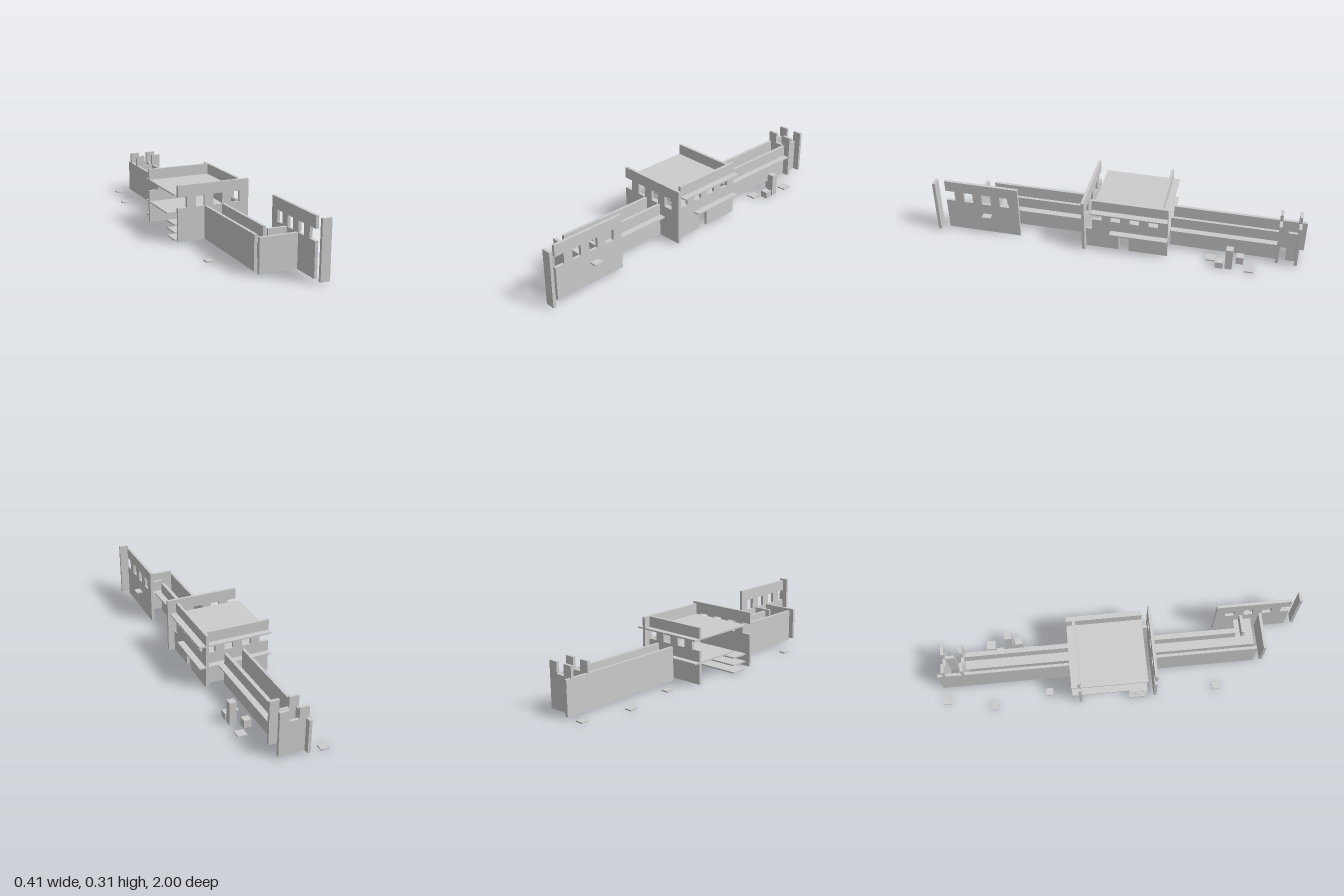
import * as THREE from 'three';

const T = 0.016;                               // wall thickness
const P = 0.0075;                              // plate thickness
const SILL = 0.19, LINTEL = 0.25, TOP = 0.3125, FLOOR = 0.125;

export function createModel() {
  const model = new THREE.Group();
  model.name = 'walledGatehouse';
  const stone = new THREE.MeshStandardMaterial({ color: 0xcccccc });
  stone.name = 'lightGrey';

  // Box given by its extents on each axis
  function block(name, x0, x1, y0, y1, z0, z1) {
    const mesh = new THREE.Mesh(new THREE.BoxGeometry(x1 - x0, y1 - y0, z1 - z0), stone);
    mesh.position.set((x0 + x1) / 2, (y0 + y1) / 2, (z0 + z1) / 2);
    mesh.name = name;
    model.add(mesh);
  }
  const plate = (name, x0, x1, y, z0, z1) => block(name, x0, x1, y, y + P, z0, z1);
  const wall = (name, x0, x1, z0, z1, top = SILL) => block(name, x0, x1, P, top, z0, z1);

  // Window wall: notch on the left, windows at regular steps, optional door and right notch
  function windowWall(name, length, x, z, turn, { door = null, rightNotch = false } = {}) {
    const w = 0.051;
    const pts = [[0, P]];
    if (door) pts.push([door[0], P], [door[0], FLOOR], [door[1], FLOOR], [door[1], P]);
    pts.push([length, P]);
    if (rightNotch) pts.push([length, SILL], [length - w, SILL], [length - w, LINTEL], [length, LINTEL]);
    pts.push([length, TOP], [0, TOP], [0, LINTEL], [w, LINTEL], [w, SILL], [0, SILL]);
    const shape = new THREE.Shape(pts.map(p => new THREE.Vector2(...p)));
    for (let u = 2 * w; u + w < length - 0.02; u += 2 * w) {
      shape.holes.push(new THREE.Path([
        [u, SILL], [u, LINTEL], [u + w, LINTEL], [u + w, SILL],
      ].map(p => new THREE.Vector2(...p))));
    }
    const mesh = new THREE.Mesh(
      new THREE.ExtrudeGeometry(shape, { depth: T, bevelEnabled: false }), stone);
    mesh.position.set(x, 0, z);
    mesh.rotation.y = turn;
    mesh.name = name;
    model.add(mesh);
  }

  // Main building: three window walls, open on its left side
  windowWall('frontWall', 0.41, -0.205, 0.16, 0);
  windowWall('sideWall', 0.41, 0.153, 0.125, Math.PI / 2, { door: [0.145, 0.2] });
  windowWall('backWall', 0.358, 0.153, -0.235, Math.PI, { rightNotch: true });
  wall('sideWallReturn', 0.153, 0.153 + T, 0.125, 0.16, FLOOR);
  plate('roof', -0.205, 0.205, LINTEL - P / 2, -0.285, 0.125);
  plate('upperFloor', -0.205, 0.205, FLOOR - P / 2, -0.285, 0.025);

  // Stacked stair slabs beside the upper floor
  for (let i = 0; i < 3; i++) plate('stairSlab', -0.205, 0.05, i * 0.0417, 0.025, 0.125);

  // Rear corridor: outer wall, parapet and wall walk
  wall('rearOuterWall', -0.052, -0.052 + T, -1, -0.285);
  wall('rearParapet', 0.05, 0.05 + T, -0.855, -0.285);
  plate('rearWalk', 0, 0.1, FLOOR - P / 2, -0.855, -0.285);
  wall('rearStubWall', 0.05, 0.05 + T, -0.955, -0.905);

  // Rear gates: low wall between two taller posts
  for (const z of [-0.87, -0.97]) {
    wall('gatePost', -0.052, 0, z, z + T, LINTEL);
    wall('gateSill', 0, 0.051, z, z + T);
    wall('gatePost', 0.051, 0.102, z, z + T, LINTEL);
  }

  // Front corridor, turning towards the outer window wall
  wall('frontOuterWall', -0.052, -0.052 + T, 0.176, 0.737);
  wall('frontParapet', 0.05, 0.05 + T, 0.176, 0.635);
  plate('frontWalk', 0, 0.102, FLOOR - P / 2, 0.176, 0.64);
  plate('frontWalkCorner', 0, 0.153, FLOOR - P / 2, 0.64, 0.737);
  wall('frontCrossWall', 0.05, 0.153, 0.668, 0.668 + T);
  wall('frontEndWall', -0.052, 0.153, 0.775, 0.775 + T);
  windowWall('outerWindowWall', 0.41, 0.153, 0.945, Math.PI / 2);
  wall('endPost', 0.154, 0.205, 0.984, 1, TOP);
  plate('wallShelf', 0.153 + T, 0.205, FLOOR - P / 2, 0.69, 0.738);

  // Loose ground tiles: x, z, half size, height of base
  const tiles = [
    [-0.13, -0.98, 0.02, 0], [-0.183, -0.72, 0.02, 0], [-0.13, -0.413, 0.02, 0],
    [-0.183, 0.51, 0.02, 0.005], [0.125, -0.515, 0.025, 0], [0.178, -0.725, 0.025, 0],
  ];
  for (const [x, z, h, y] of tiles) plate('groundTile', x - h, x + h, y, z - h, z + h);

  // Small blocks beside the rear wall: x, z, half size, height
  for (const [x, z, h, top] of [[0.177, -0.567, 0.021, 0.036], [0.177, -0.617, 0.019, FLOOR], [0.123, -0.67, 0.02, 0.043]]) {
    block('yardBlock', x - h, x + h, 0, top, z - h, z + h);
  }

  return model;
}
